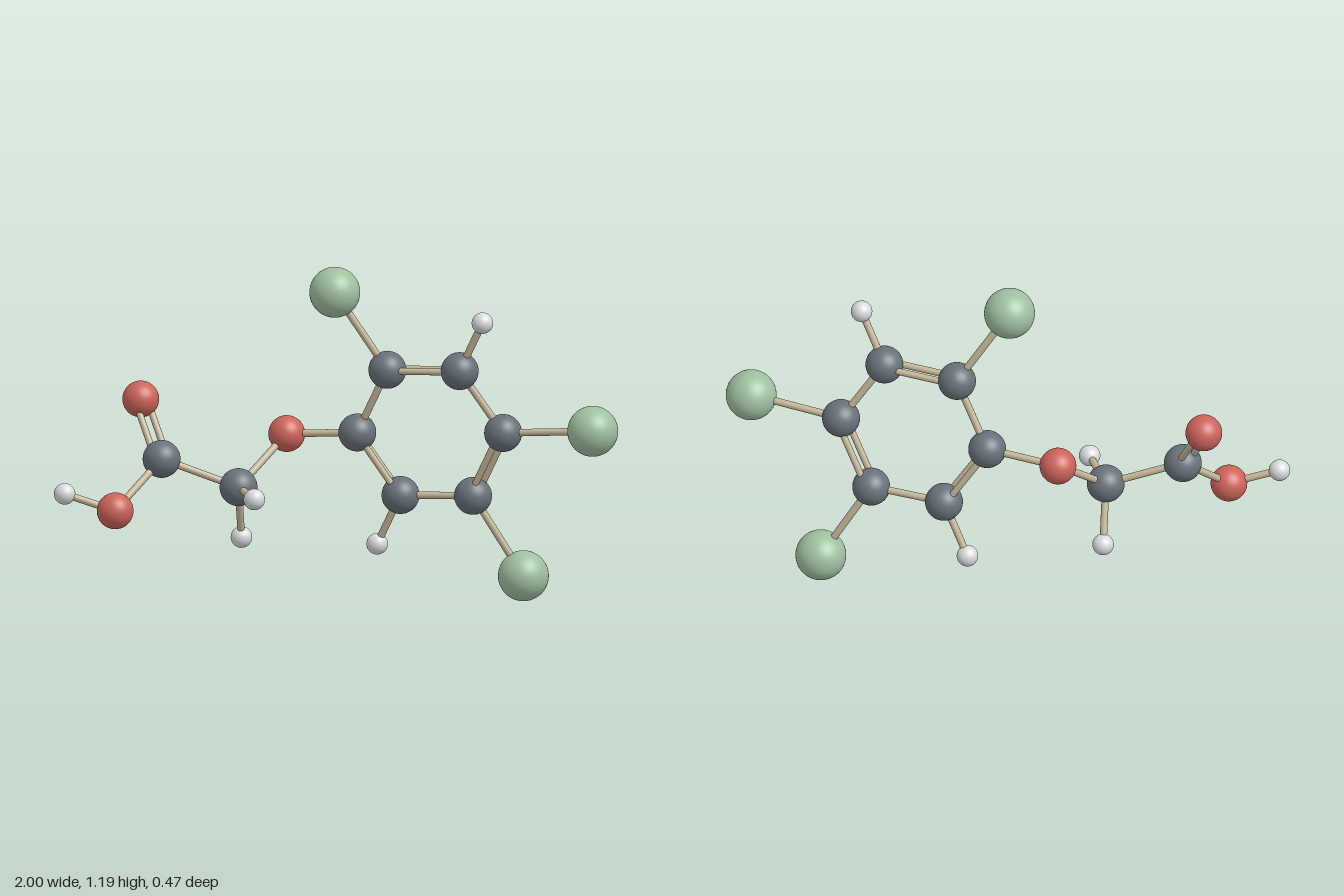
import * as THREE from 'three';

const material = (name, color) => {
  const m = new THREE.MeshStandardMaterial({ color });
  m.name = name;
  return m;
};

export function createModel() {
  const model = new THREE.Group();
  model.name = 'molecule';

  // Each kind of atom: radius and colour
  const kinds = {
    carbon: { radius: 0.067, mat: material('slate grey', 0x68717b) },
    oxygen: { radius: 0.065, mat: material('soft red', 0xcc6359) },
    chlorine: { radius: 0.09, mat: material('pale green', 0x9fbf9f) },
    hydrogen: { radius: 0.038, mat: material('light grey', 0xd9dadb) },
  };
  const bondMat = material('beige', 0xc4b596);
  for (const k of Object.values(kinds)) k.geometry = new THREE.SphereGeometry(k.radius, 40, 28);

  const atoms = {
    // Six-sided ring
    ring1: ['carbon', 0.05, 0.59, -0.11],
    ring2: ['carbon', 0.163, 0.829, -0.05],
    ring3: ['carbon', 0.427, 0.842, 0.017],
    ring4: ['carbon', 0.58, 0.62, 0.004],
    ring5: ['carbon', 0.467, 0.38, -0.057],
    ring6: ['carbon', 0.203, 0.367, -0.115],
    // Atoms around the ring
    chlorineTop: ['chlorine', -0.022, 1.108, -0.032],
    chlorineSide: ['chlorine', 0.907, 0.648, 0.087],
    chlorineBottom: ['chlorine', 0.645, 0.094, -0.066],
    ringHydrogenTop: ['hydrogen', 0.513, 1.026, 0.068],
    ringHydrogenBottom: ['hydrogen', 0.115, 0.18, -0.166],
    // Side chain
    bridgeOxygen: ['oxygen', -0.207, 0.57, -0.169],
    chainCarbon: ['carbon', -0.361, 0.406, 0],
    chainHydrogenLow: ['hydrogen', -0.36, 0.209, -0.092],
    chainHydrogenFront: ['hydrogen', -0.285, 0.4, 0.195],
    acidCarbon: ['carbon', -0.634, 0.503, 0.004],
    acidOxygenTop: ['oxygen', -0.719, 0.697, -0.104],
    acidOxygenLow: ['oxygen', -0.784, 0.341, 0.151],
    acidHydrogen: ['hydrogen', -0.963, 0.4, 0.158],
  };

  const at = {};
  for (const [name, [kind, x, y, z]] of Object.entries(atoms)) {
    const mesh = new THREE.Mesh(kinds[kind].geometry, kinds[kind].mat);
    mesh.name = name;
    mesh.position.set(x, y, z);
    at[name] = mesh.position;
    model.add(mesh);
  }

  // One rod between two points
  const up = new THREE.Vector3(0, 1, 0);
  const rod = (a, b, radius, name) => {
    const dir = b.clone().sub(a);
    const mesh = new THREE.Mesh(new THREE.CylinderGeometry(radius, radius, dir.length(), 20), bondMat);
    mesh.position.copy(a).add(b).multiplyScalar(0.5);
    mesh.quaternion.setFromUnitVectors(up, dir.normalize());
    mesh.name = name;
    model.add(mesh);
  };

  // Single bonds
  const singles = [
    ['ring1', 'ring2'], ['ring3', 'ring4'], ['ring5', 'ring6'],
    ['ring2', 'chlorineTop'], ['ring4', 'chlorineSide'], ['ring5', 'chlorineBottom'],
    ['ring3', 'ringHydrogenTop'], ['ring6', 'ringHydrogenBottom'],
    ['ring1', 'bridgeOxygen'], ['bridgeOxygen', 'chainCarbon'],
    ['chainCarbon', 'chainHydrogenLow'], ['chainCarbon', 'chainHydrogenFront'],
    ['chainCarbon', 'acidCarbon'], ['acidCarbon', 'acidOxygenLow'],
    ['acidOxygenLow', 'acidHydrogen'],
  ];
  for (const [a, b] of singles) rod(at[a], at[b], 0.013, 'singleBond');

  // Double bonds: two rods set apart level with the ground
  const doubles = [
    ['ring2', 'ring3'], ['ring4', 'ring5'], ['ring6', 'ring1'], ['acidCarbon', 'acidOxygenTop'],
  ];
  for (const [a, b] of doubles) {
    const side = at[b].clone().sub(at[a]).cross(up).normalize();
    for (const s of [-0.025, 0.025]) {
      const shift = side.clone().multiplyScalar(s);
      rod(at[a].clone().add(shift), at[b].clone().add(shift), 0.012, 'doubleBond');
    }
  }

  return model;
}
